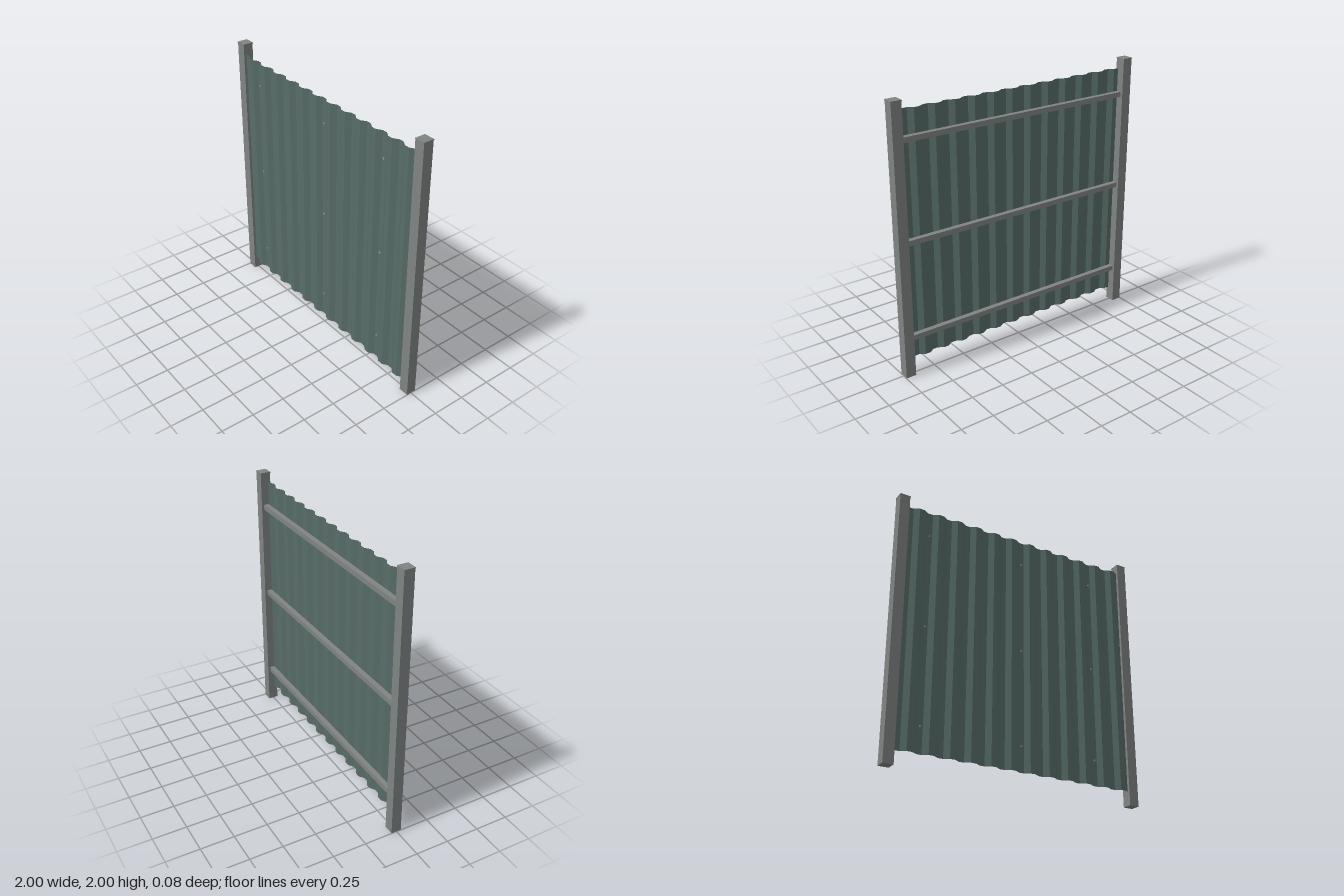
import * as THREE from 'three';

export function createModel() {
  const group = new THREE.Group();
  group.name = 'fencePanel';
  const material = (name, color, side = THREE.FrontSide) => {
    const m = new THREE.MeshStandardMaterial({ color, side, flatShading: true });
    m.name = name;
    return m;
  };
  const steel = material('steelGrey', 0x7f8483);
  const green = material('sheetGreen', 0x586d69, THREE.DoubleSide);
  const zinc = material('screwGrey', 0x8a9190);

  const add = (name, geometry, mat, x, y, z) => {
    const mesh = new THREE.Mesh(geometry, mat);
    mesh.name = name;
    mesh.position.set(x, y, z);
    group.add(mesh);
    return mesh;
  };

  // Square end posts with slightly wider caps
  for (const [side, s] of [['left', 1], ['right', -1]]) {
    add(side + 'Post', new THREE.BoxGeometry(0.076, 1.992, 0.076), steel, s * 0.96, 0.996, -0.002);
    add(side + 'PostCap', new THREE.BoxGeometry(0.08, 0.008, 0.08), steel, s * 0.96, 1.996, -0.002);
  }

  // Corrugated sheet: four facets per wave (valley, rise, crest, fall)
  const width = 1.84, waves = 12, height = 1.82;
  const valleyZ = 0.017, crestZ = 0.042;
  const sheet = new THREE.PlaneGeometry(width, height, waves * 4, 1);
  const pos = sheet.attributes.position;
  for (let i = 0; i < pos.count; i++) {
    const k = i % (waves * 4 + 1);
    pos.setZ(i, k % 4 < 2 ? valleyZ : crestZ);
  }
  sheet.computeVertexNormals();
  add('corrugatedSheet', sheet, green, 0, 0.1 + height / 2, 0);

  // Horizontal rails and the screws that hold the sheet in its valleys
  for (const y of [0.29, 1.01, 1.73]) {
    add('rail', new THREE.BoxGeometry(1.85, 0.038, 0.038), steel, 0, y, -0.003);
    for (const x of [-0.75, 0.018, 0.633]) {
      const screw = add('screw', new THREE.CylinderGeometry(0.008, 0.008, 0.006, 8), zinc, x, y, 0.02);
      screw.rotation.x = Math.PI / 2;
    }
  }
  return group;
}
